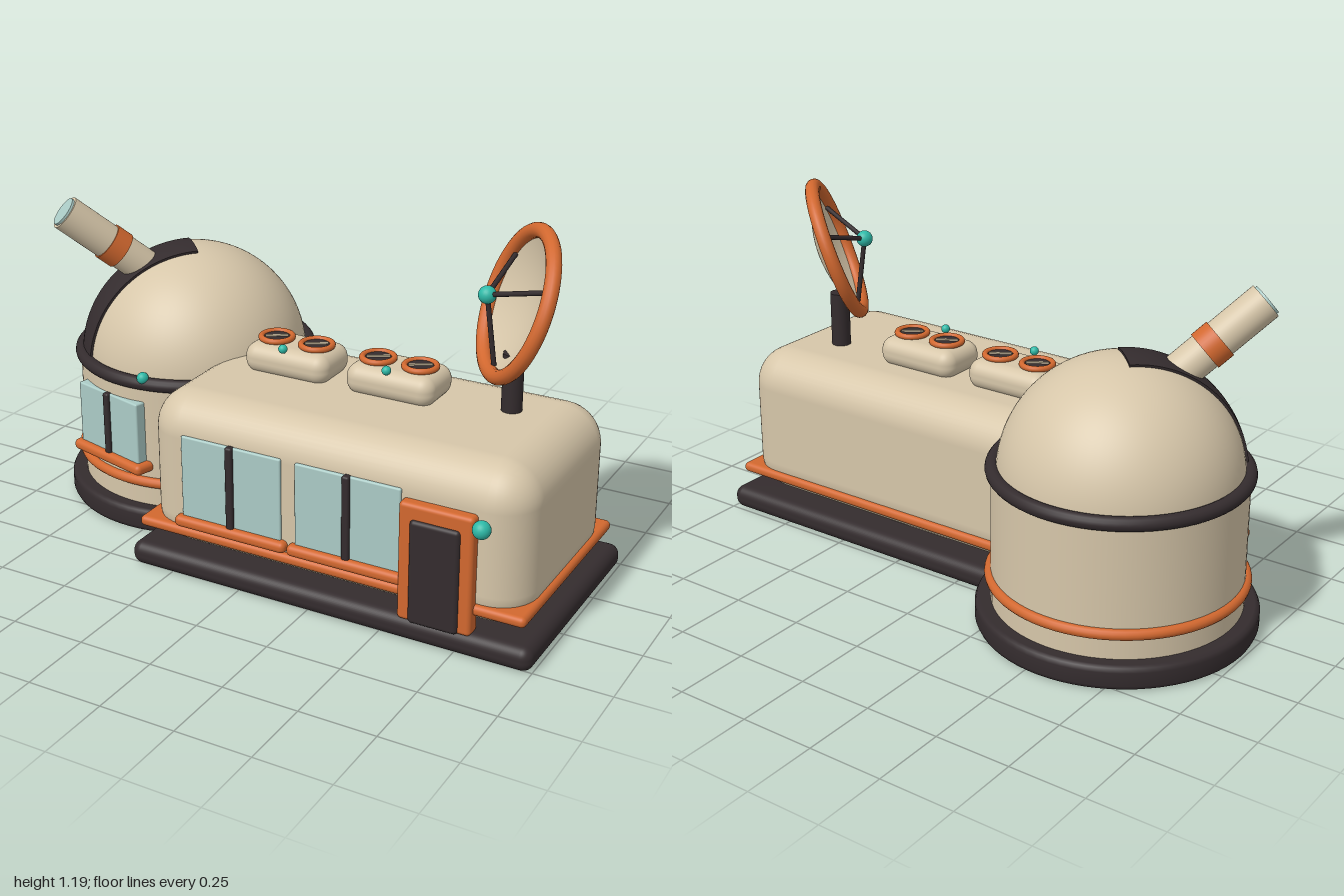
import * as THREE from 'three';
import { RoundedBoxGeometry } from 'three/addons/geometries/RoundedBoxGeometry.js';

const paint = (name, color, side = THREE.FrontSide) => {
  const m = new THREE.MeshStandardMaterial({ color, side });
  m.name = name;
  return m;
};

export function createModel() {
  const cream = paint('cream', 0xd6c6a9, THREE.DoubleSide);
  const orange = paint('orange', 0xd2682f);
  const dark = paint('charcoal', 0x342c2e);
  const glass = paint('glass', 0xabcbc6);
  const teal = paint('teal', 0x2db9a7);

  const model = new THREE.Group();
  model.name = 'observatory';

  const add = (parent, name, geometry, material, x = 0, y = 0, z = 0) => {
    const mesh = new THREE.Mesh(geometry, material);
    mesh.name = name;
    mesh.position.set(x, y, z);
    parent.add(mesh);
    return mesh;
  };
  const group = (parent, name, x = 0, y = 0, z = 0) => {
    const g = new THREE.Group();
    g.name = name;
    g.position.set(x, y, z);
    parent.add(g);
    return g;
  };
  // Rounded box given by its lower and upper limits on each axis
  const block = (parent, name, material, [x0, x1], [y0, y1], [z0, z1], r) =>
    add(parent, name, new RoundedBoxGeometry(x1 - x0, y1 - y0, z1 - z0, 5, r), material,
      (x0 + x1) / 2, (y0 + y1) / 2, (z0 + z1) / 2);
  const ball = (parent, name, r, x, y, z) =>
    add(parent, name, new THREE.SphereGeometry(r, 24, 16), teal, x, y, z);
  const ring = (parent, name, material, R, r, y) => {
    const mesh = add(parent, name, new THREE.TorusGeometry(R, r, 14, 72), material, 0, y, 0);
    mesh.rotation.x = Math.PI / 2;
    return mesh;
  };
  const cylinder = (r, h) => new THREE.CylinderGeometry(r, r, h, 40);
  // Straight rod between two points
  const rod = (parent, name, a, b, r) => {
    const mesh = add(parent, name, new THREE.CylinderGeometry(r, r, a.distanceTo(b), 10), dark);
    mesh.position.copy(a).lerp(b, 0.5);
    mesh.quaternion.setFromUnitVectors(new THREE.Vector3(0, 1, 0), b.clone().sub(a).normalize());
  };
  // Window on a wall at local z = 0: pane, mullion and sill
  const windowUnit = (parent, name, w, y0, y1, sill, depth) => {
    const g = group(parent, name);
    block(g, 'pane', glass, [-w / 2, w / 2], [y0, y1], [-depth, 0.008], 0.006);
    block(g, 'mullion', dark, [-0.013, 0.013], [y0, y1 + 0.002], [-depth, 0.02], 0.008);
    block(g, 'sill', orange, [-sill / 2, sill / 2], [y0 - 0.03, y0 + 0.008], [-depth, 0.03], 0.017);
    return g;
  };

  // Round tower
  const tower = group(model, 'tower', -0.55, 0, -0.125);
  const plinth = [[0, 0], [0.432, 0], [0.444, 0.005], [0.45, 0.018], [0.45, 0.062],
    [0.444, 0.075], [0.432, 0.08], [0, 0.08]].map(([x, y]) => new THREE.Vector2(x, y));
  add(tower, 'towerBase', new THREE.LatheGeometry(plinth, 72), dark);
  add(tower, 'drum', new THREE.CylinderGeometry(0.4, 0.4, 0.46, 72), cream, 0, 0.29, 0);
  add(tower, 'dome', new THREE.SphereGeometry(0.385, 72, 28, 0, Math.PI * 2, 0, Math.PI / 2),
    cream, 0, 0.5, 0);
  ring(tower, 'collar', dark, 0.395, 0.023, 0.522);
  ring(tower, 'towerBelt', orange, 0.402, 0.018, 0.165);
  ball(tower, 'collarLamp', 0.02, 0.05, 0.545, 0.4);

  // Dome slit: a flat strip wrapped over the sphere from the crown to the collar
  const slit = new THREE.BoxGeometry(0.15, 0.016, 1, 8, 1, 28);
  const p = slit.attributes.position;
  for (let i = 0; i < p.count; i++) {
    const r = 0.385 + p.getY(i);
    const across = p.getX(i) / 0.385;
    const down = (p.getZ(i) + 0.5) * Math.PI / 2;
    p.setXYZ(i, r * Math.sin(across), r * Math.cos(across) * Math.cos(down),
      r * Math.cos(across) * Math.sin(down));
  }
  slit.computeVertexNormals();
  add(tower, 'domeSlit', slit, dark, 0, 0.5, 0).rotation.y = -Math.PI / 4;

  // Tower window, set tangent to the drum
  const towerWindow = windowUnit(tower, 'towerWindow', 0.295, 0.235, 0.457, 0.34, 0.05);
  const turn = -0.255;
  towerWindow.position.set(0.4 * Math.sin(turn), 0, 0.4 * Math.cos(turn));
  towerWindow.rotation.y = turn;

  // Telescope, local +y running out along its barrel from the tip
  const scope = group(model, 'telescope', -0.855, 1.035, 0.18);
  scope.quaternion.setFromUnitVectors(new THREE.Vector3(0, 1, 0),
    new THREE.Vector3(-0.55, 0.64, 0.55).normalize());
  add(scope, 'barrel', cylinder(0.06, 0.4), cream, 0, -0.2, 0);
  add(scope, 'barrelBand', cylinder(0.065, 0.06), orange, 0, -0.205, 0);
  add(scope, 'lens', cylinder(0.051, 0.016), glass, 0, 0, 0);

  // Long hall
  const hall = group(model, 'hall');
  block(hall, 'hallBase', dark, [-0.4, 1], [0, 0.08], [-0.25, 0.525], 0.035);
  block(hall, 'hallBody', cream, [-0.36, 0.957], [0.07, 0.603], [-0.207, 0.487], 0.13);
  block(hall, 'hallBelt', orange, [-0.375, 0.97], [0.135, 0.17], [-0.218, 0.502], 0.016);
  for (const x of [-0.03, 0.38])
    windowUnit(hall, 'hallWindow', 0.36, 0.205, 0.488, 0.405, 0.02).position.set(x, 0, 0.487);

  // Door
  block(hall, 'doorFrame', orange, [0.565, 0.807], [0.072, 0.463], [0.465, 0.522], 0.014);
  block(hall, 'doorPanel', dark, [0.605, 0.768], [0.072, 0.415], [0.49, 0.533], 0.014);
  ball(hall, 'doorLamp', 0.028, 0.842, 0.45, 0.545);

  // Roof ventilation units with two fans each
  for (const x of [-0.03, 0.34]) {
    const unit = group(hall, 'roofUnit', x, 0, 0.072);
    block(unit, 'unitBody', cream, [-0.153, 0.153], [0.59, 0.692], [-0.096, 0.096], 0.045);
    for (const side of [-1, 1]) {
      const fan = group(unit, 'fan', side * 0.074, 0.69, 0);
      ring(fan, 'fanRing', orange, 0.051, 0.01, 0.009);
      add(fan, 'fanGrille', cylinder(0.049, 0.014), dark, 0, 0.004, 0);
      add(fan, 'fanBar', new THREE.BoxGeometry(0.075, 0.006, 0.01), cream, 0, 0.013, 0)
        .rotation.y = 0.55;
    }
    ball(unit, 'unitLamp', 0.015, 0, 0.7, 0.09);
  }

  // Dish antenna on its post, local +z being the way it looks
  add(model, 'dishPost', cylinder(0.033, 0.21), dark, 0.713, 0.686, 0.045);
  const dish = group(model, 'dish', 0.716, 0.95, 0.045);
  dish.lookAt(0.716 - 0.735, 0.95 + 0.339, 0.045 + 0.587);
  add(dish, 'dishRim', new THREE.TorusGeometry(0.229, 0.024, 14, 72), orange);
  const bowl = [];
  for (let i = 0; i <= 12; i++) {
    const t = i / 12;
    bowl.push(new THREE.Vector2(0.225 * t, -0.065 * (1 - t * t)));
  }
  add(dish, 'dishBowl', new THREE.LatheGeometry(bowl, 64), cream).rotation.x = Math.PI / 2;
  const feed = new THREE.Vector3(0, 0, 0.1);
  ball(dish, 'dishFeed', 0.028, 0, 0, 0.1);
  for (const deg of [30, 150, 270]) {
    const a = THREE.MathUtils.degToRad(deg);
    rod(dish, 'feedStrut',
      new THREE.Vector3(0.205 * Math.cos(a), 0.205 * Math.sin(a), -0.005), feed, 0.008);
  }

  return model;
}
